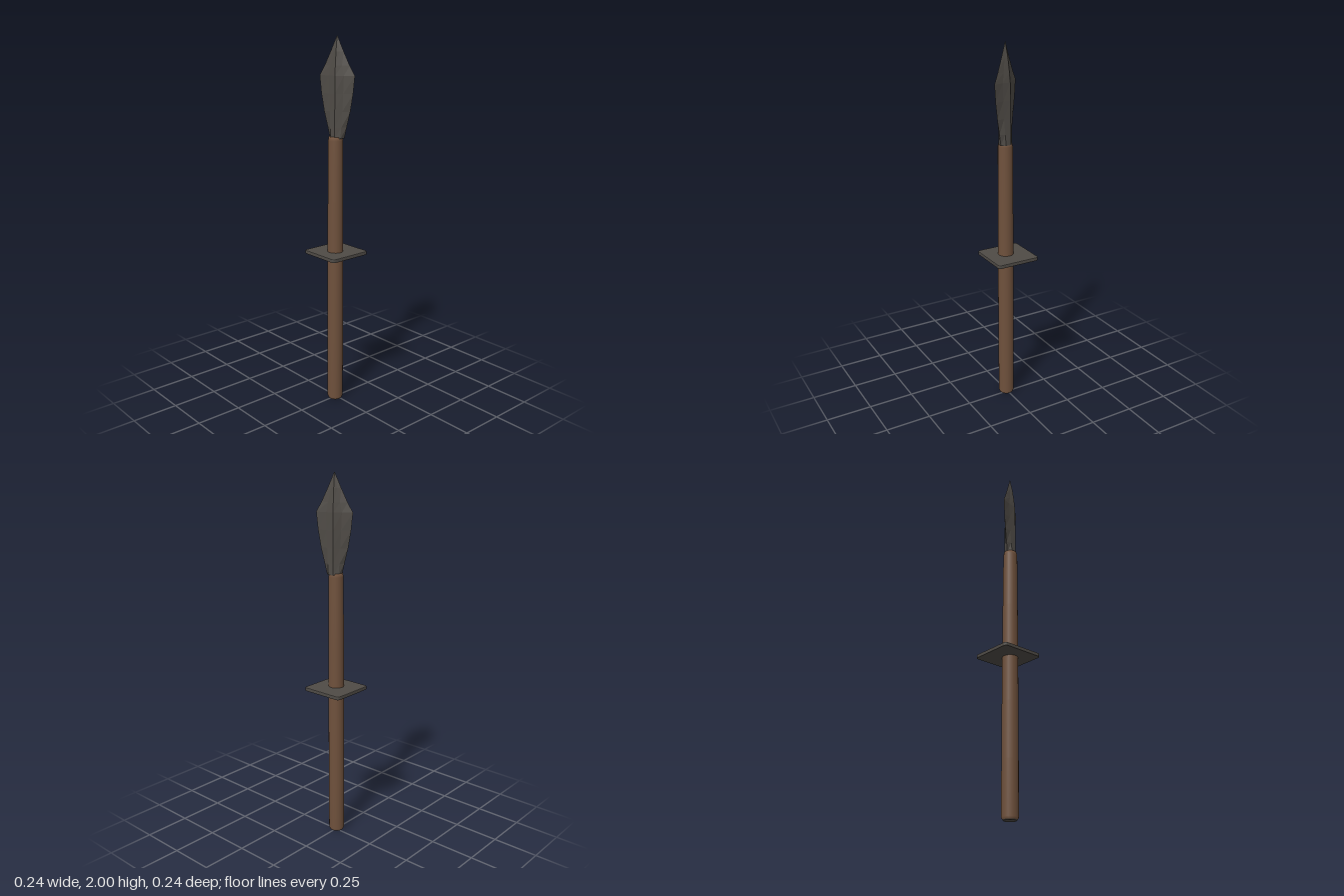
import * as THREE from 'three';

const wood = new THREE.MeshStandardMaterial({ color: 0x6f513c });
wood.name = 'brown wood';
const iron = new THREE.MeshStandardMaterial({ color: 0x4f4b46 });
iron.name = 'dark iron';

function add(group, name, geometry, material) {
  const mesh = new THREE.Mesh(geometry, material);
  mesh.name = name;
  group.add(mesh);
  return mesh;
}

// Lean of the shaft: its centre drifts slightly towards +x as it rises
const axisX = (y) => 0.003 + 0.005 * (y / 1.5);
function lean(geometry) {
  const p = geometry.attributes.position;
  for (let i = 0; i < p.count; i++) p.setX(i, p.getX(i) + axisX(p.getY(i)));
  geometry.computeBoundingSphere();
  return geometry;
}

// Slightly tapering handle with softened ends
function shaftGeometry() {
  const profile = [
    [0.038, 0.004], [0.043, 0.016], [0.0435, 0.3], [0.043, 0.6], [0.042, 0.86],
    [0.041, 1.15], [0.039, 1.47], [0.035, 1.49], [0, 1.493],
  ].map(([r, y]) => new THREE.Vector2(r, y));
  return lean(new THREE.LatheGeometry(profile, 20));
}

// Thin square guard with rounded corners
function guardGeometry() {
  const h = 0.12, r = 0.018;
  const s = new THREE.Shape();
  s.moveTo(-h + r, -h);
  s.lineTo(h - r, -h);
  s.quadraticCurveTo(h, -h, h, -h + r);
  s.lineTo(h, h - r);
  s.quadraticCurveTo(h, h, h - r, h);
  s.lineTo(-h + r, h);
  s.quadraticCurveTo(-h, h, -h, h - r);
  s.lineTo(-h, -h + r);
  s.quadraticCurveTo(-h, -h, -h + r, -h);
  const g = new THREE.ExtrudeGeometry(s, {
    depth: 0.012, bevelEnabled: true, bevelThickness: 0.004, bevelSize: 0.004,
    bevelOffset: -0.002, bevelSegments: 2, curveSegments: 5,
  });
  return g.rotateX(-Math.PI / 2);
}

// Leaf blade: round socket blending into a ridged diamond section
function bladeGeometry() {
  // height, half width, half thickness, corner fullness
  const sections = [
    [1.482, 0.040, 0.035, 0.68],
    [1.54, 0.053, 0.034, 0.58],
    [1.62, 0.072, 0.033, 0.48],
    [1.71, 0.087, 0.032, 0.44],
    [1.8, 0.096, 0.030, 0.43],
    [1.85, 0.068, 0.025, 0.45],
    [1.92, 0.035, 0.016, 0.48],
    [2.0, 0, 0, 0.5],
  ];
  const positions = [], index = [], n = 8;
  for (const [y, w, t, f] of sections) {
    for (let k = 0; k < n; k++) {
      const a = (k * Math.PI) / 4;
      const m = k % 2 ? f / Math.SQRT1_2 : 1;
      positions.push(Math.cos(a) * w * m, y, Math.sin(a) * t * m);
    }
  }
  for (let j = 0; j < sections.length - 1; j++) {
    for (let k = 0; k < n; k++) {
      const a = j * n + k, b = j * n + ((k + 1) % n);
      index.push(a, a + n, b);
      if (j < sections.length - 2) index.push(b, a + n, b + n);
    }
  }
  // Closed bottom of the socket
  for (let k = 1; k < n - 1; k++) index.push(0, k, k + 1);
  const g = new THREE.BufferGeometry();
  g.setAttribute('position', new THREE.Float32BufferAttribute(positions, 3));
  g.setIndex(index);
  const flat = g.toNonIndexed();
  flat.computeVertexNormals();
  return flat;
}

export function createModel() {
  const spear = new THREE.Group();
  spear.name = 'spear';

  add(spear, 'shaft', shaftGeometry(), wood).position.z = 0.01;

  // Iron end of the shaft
  const butt = new THREE.CylinderGeometry(0.038, 0.034, 0.005, 20).translate(0, 0.0025, 0);
  add(spear, 'buttCap', lean(butt), iron).position.z = 0.01;

  add(spear, 'guard', guardGeometry(), iron).position.set(-0.001, 0.854, 0);

  const blade = add(spear, 'blade', bladeGeometry(), iron);
  blade.position.set(0.012, 0, 0.003);
  blade.rotation.y = THREE.MathUtils.degToRad(27);

  return spear;
}
